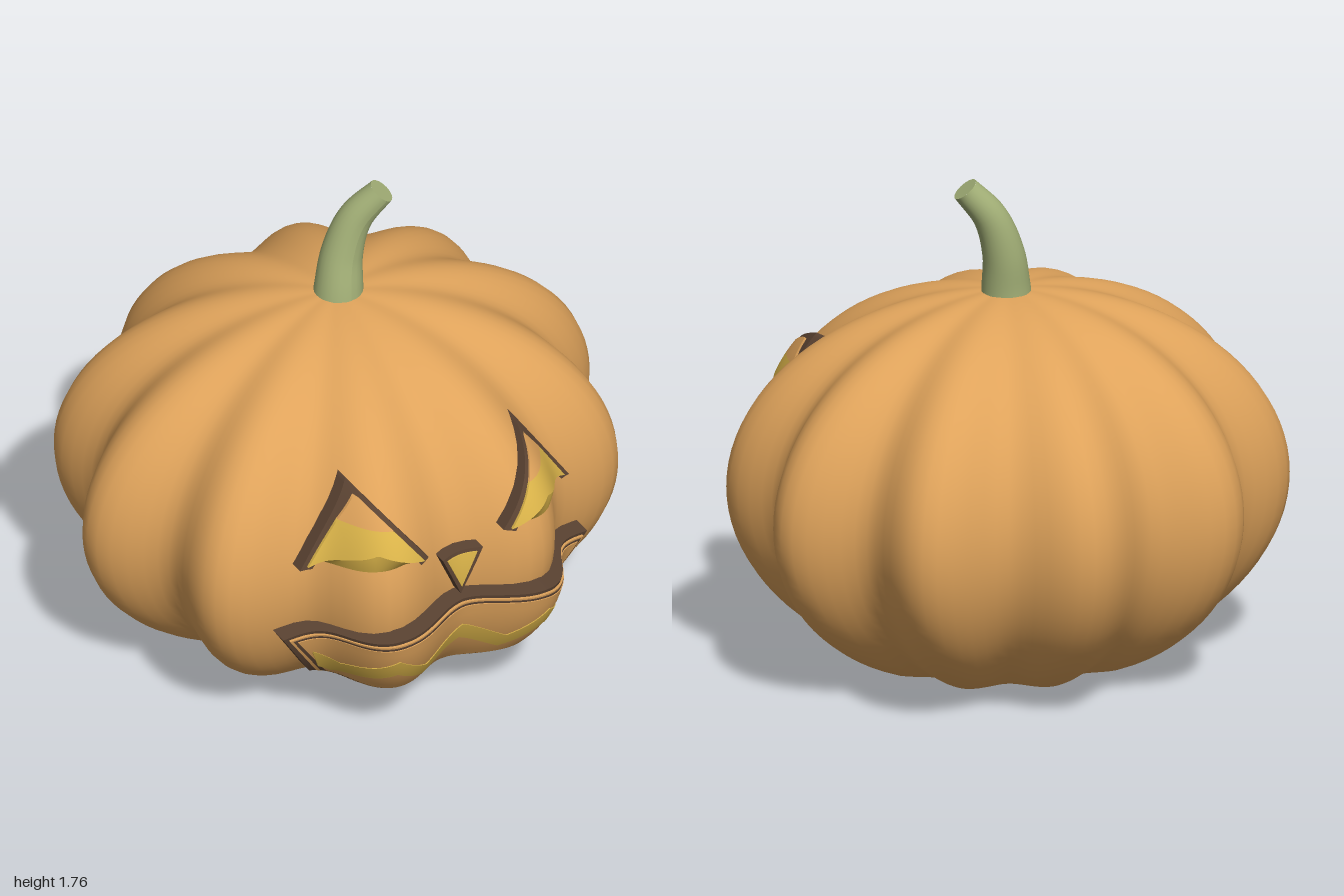
import * as THREE from 'three';
import { mergeVertices } from 'three/addons/utils/BufferGeometryUtils.js';

const paint = (name, color) => {
  const m = new THREE.MeshStandardMaterial({ color });
  m.name = name;
  return m;
};

// Body: squashed ten-lobed ellipsoid
const MID = 0.645, HALF = 0.7, DEPTH = 0.925, ZC = -0.03;
const lobe = (a) => 0.93 + 0.07 * Math.cos(10 * a);

function bodyGeometry() {
  let g = new THREE.SphereGeometry(1, 120, 48);
  const p = g.attributes.position;
  for (let i = 0; i < p.count; i++) {
    const a = Math.atan2(p.getZ(i), p.getX(i));
    const r = Math.hypot(p.getX(i), p.getZ(i)) * lobe(a);
    let y = MID + HALF * p.getY(i);
    if (y < 0.04) y = 0.04 * (y + 0.055) / 0.095; // flattened underside
    p.setXYZ(i, r * Math.cos(a), y, DEPTH * r * Math.sin(a) + ZC);
  }
  g.deleteAttribute('uv');
  g.deleteAttribute('normal');
  g = mergeVertices(g, 1e-5);
  g.computeVertexNormals();
  return g;
}

// Depth of the front of the body at a given x, y
function frontZ(x, y) {
  const s = Math.sqrt(1 - ((y - MID) / HALF) ** 2);
  let lo = Math.PI * 0.2, hi = Math.PI * 0.8;
  for (let i = 0; i < 30; i++) {
    const a = (lo + hi) / 2;
    if (lobe(a) * Math.cos(a) * s > x) lo = a; else hi = a;
  }
  return DEPTH * lobe(lo) * Math.sin(lo) * s + ZC;
}

// Height of a polyline (sorted by x) at x
function heightAt(line, x) {
  for (let i = 1; i < line.length; i++) {
    const [x0, y0] = line[i - 1], [x1, y1] = line[i];
    if (x <= x1 + 1e-9) return y0 + (y1 - y0) * (x - x0) / (x1 - x0);
  }
  return line[line.length - 1][1];
}

// Slab hugging the body between two polylines; it may be thinner at its lower edge
function slab(upper, lower, thick, thickLow = thick) {
  const x0 = upper[0][0], x1 = upper[upper.length - 1][0];
  const g = new THREE.BoxGeometry(1, 1, 1, Math.round((x1 - x0) * 100), 8, 1);
  const p = g.attributes.position;
  for (let i = 0; i < p.count; i++) {
    const v = p.getY(i) + 0.5;
    const x = x0 + (x1 - x0) * (p.getX(i) + 0.5);
    const yl = heightAt(lower, x);
    const y = yl + (heightAt(upper, x) - yl) * v;
    const off = p.getZ(i) > 0 ? thickLow + (thick - thickLow) * v : -0.02;
    p.setXYZ(i, x, y, frontZ(x, y) + off);
  }
  g.computeVertexNormals();
  return g;
}

const mirror = (line) => line.map(([x, y]) => [-x, y]).reverse();
const inset = (line, cy, sx, sy) => line.map(([x, y]) => [x * sx, cy + (y - cy) * sy]);
const bothSides = (half) => [...mirror(half).slice(0, -1), ...half];

export function createModel() {
  const root = new THREE.Group();
  root.name = 'carvedPumpkin';
  const orange = paint('pumpkinOrange', 0xdfa35b);
  const brown = paint('carvedBrown', 0x5c4433);
  const yellow = paint('glowYellow', 0xdcb54a);
  const green = paint('stemGreen', 0xa3b077);

  const add = (parent, name, geometry, material) => {
    const m = new THREE.Mesh(geometry, material);
    m.name = name;
    parent.add(m);
    return m;
  };
  const group = (name) => {
    const g = new THREE.Group();
    g.name = name;
    root.add(g);
    return g;
  };

  add(root, 'body', bodyGeometry(), orange);

  // Stem: bent, tapering tube with a flat cut end
  const stem = group('stem');
  const curve = new THREE.CatmullRomCurve3([
    [0.01, 1.28, -0.035], [0.017, 1.36, -0.04], [0.037, 1.48, -0.052],
    [0.085, 1.62, -0.042], [0.165, 1.73, 0],
  ].map((a) => new THREE.Vector3(...a)));
  const N = 24, SIDES = 24;
  const tube = new THREE.TubeGeometry(curve, N, 1, SIDES);
  const tp = tube.attributes.position, v = new THREE.Vector3();
  for (let i = 0; i < tp.count; i++) {
    const t = Math.floor(i / (SIDES + 1)) / N, c = curve.getPointAt(t);
    v.fromBufferAttribute(tp, i).sub(c).multiplyScalar(0.092 - 0.044 * t).add(c);
    tp.setXYZ(i, v.x, v.y, v.z);
  }
  tube.computeVertexNormals();
  add(stem, 'stemStalk', tube, green);
  const cap = add(stem, 'stemCut', new THREE.CircleGeometry(0.048, SIDES), green);
  cap.position.copy(curve.getPointAt(1));
  cap.quaternion.setFromUnitVectors(new THREE.Vector3(0, 0, 1), curve.getTangentAt(1));

  // Eyes: brown surround, orange lid, yellow glow with a sloping lower edge
  const chevron = [[0.175, 0.825], [0.34, 0.885], [0.515, 0.785]];
  const eyeParts = [
    ['Surround', brown, 0.05, 0.05,
      [[0.15, 0.82], [0.34, 1.08], [0.54, 0.77]],
      [[0.15, 0.82], [0.19, 0.812], [0.34, 1.045], [0.5, 0.775], [0.54, 0.77]]],
    ['Lid', orange, 0.06, 0.06,
      [[0.272, 0.96], [0.34, 1.05], [0.405, 0.96]], [[0.272, 0.96], [0.405, 0.96]]],
    ['Glow', yellow, 0.06, 0.06,
      [[0.175, 0.825], [0.272, 0.96], [0.405, 0.96], [0.515, 0.785]], chevron],
    ['LowerSlope', yellow, 0.06, 0.005,
      chevron, [[0.175, 0.82], [0.34, 0.805], [0.515, 0.78]]],
  ];
  for (const [side, flip] of [['left', (l) => l], ['right', mirror]]) {
    const eye = group(side + 'Eye');
    for (const [name, mat, top, low, upper, lower] of eyeParts)
      add(eye, side + 'Eye' + name, slab(flip(upper), flip(lower), top, low), mat);
  }

  // Nose
  const nose = group('nose');
  const noseTop = [[-0.08, 0.76], [0.08, 0.76]];
  const noseLow = [[-0.08, 0.76], [0, 0.58], [0.08, 0.76]];
  add(nose, 'noseSurround', slab(noseTop, noseLow, 0.05), brown);
  add(nose, 'noseGlow', slab(inset(noseTop, 0.71, 0.74, 0.74), inset(noseLow, 0.71, 0.74, 0.74), 0.055), yellow);

  // Mouth: stacked plates, each a little smaller and further forward
  const mouth = group('mouth');
  const lipTop = bothSides([[0, 0.57], [0.29, 0.555], [0.61, 0.5]]);
  const lipLow = bothSides([[0, 0.185], [0.46, 0.26], [0.61, 0.5]]);
  for (const [name, mat, thick, sx, sy] of [
    ['mouthSurround', brown, 0.07, 1, 1],
    ['mouthRim', orange, 0.08, 0.965, 0.93],
    ['mouthGroove', brown, 0.083, 0.945, 0.89],
    ['mouthPlate', orange, 0.087, 0.92, 0.85],
  ]) add(mouth, name, slab(inset(lipTop, 0.385, sx, sy), inset(lipLow, 0.385, sx, sy), thick), mat);

  // Zigzag glow between the teeth
  const zigTop = bothSides([[0, 0.455], [0.16, 0.36], [0.3, 0.46], [0.42, 0.37], [0.5, 0.42]]);
  const zigLow = bothSides([[0, 0.38], [0.15, 0.29], [0.29, 0.38], [0.42, 0.295], [0.46, 0.32], [0.5, 0.41]]);
  add(mouth, 'teethGlow', slab(zigTop, zigLow, 0.091), yellow);

  return root;
}
